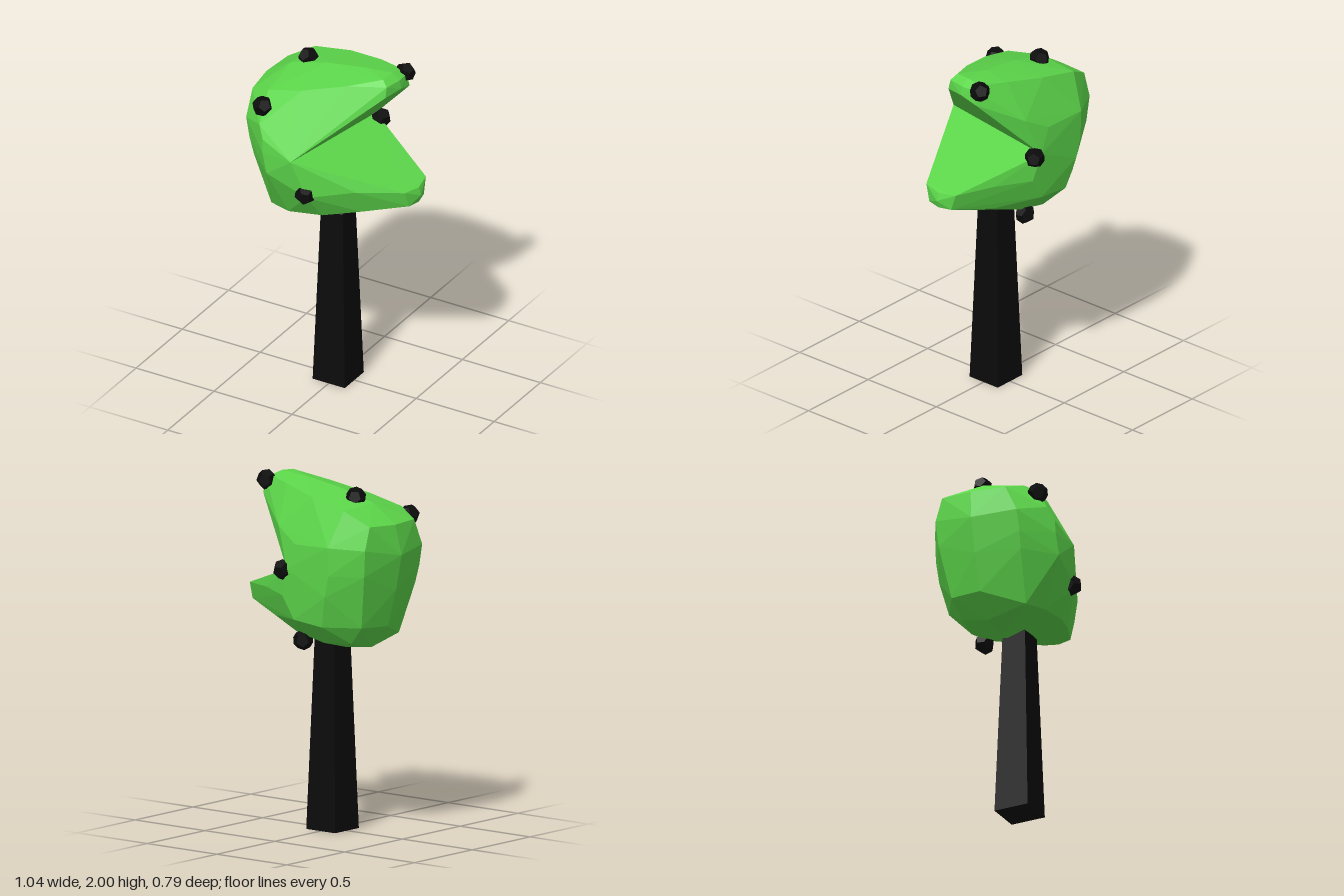
import * as THREE from 'three';
import { ConvexGeometry } from 'three/addons/geometries/ConvexGeometry.js';

const green = new THREE.MeshStandardMaterial({ color: 0x5cd64a, flatShading: true });
const black = new THREE.MeshStandardMaterial({ color: 0x0b0b0b, flatShading: true });

// Corners of the mouth hinge and the ring where both jaws join
const hinge = [
  [-0.08, 1.52, 0.38], [0.03, 1.505, -0.36], [-0.27, 1.52, 0.365], [-0.435, 1.5, 0.225],
  [-0.5, 1.5, -0.03], [-0.45, 1.5, -0.27], [-0.28, 1.5, -0.375],
];

// Each row is one rib, from the back of the head to the lip
const upperRibs = [
  [[-0.46, 1.77, 0.15], [-0.33, 1.82, 0.2], [-0.12, 1.87, 0.185], [0.12, 1.93, 0.11], [0.3, 1.98, 0.02]],
  [[-0.49, 1.77, -0.05], [-0.33, 1.875, -0.05], [-0.1, 1.935, -0.055], [0.15, 1.973, -0.06], [0.31, 1.985, -0.065]],
  [[-0.465, 1.78, -0.24], [-0.32, 1.86, -0.29], [-0.08, 1.91, -0.275], [0.15, 1.95, -0.215], [0.31, 1.97, -0.155]],
  [[-0.46, 1.62, 0.22], [-0.31, 1.67, 0.33], [-0.27, 1.6, 0.36]],
  [[-0.52, 1.6, -0.03]],
  [[-0.465, 1.65, -0.28], [-0.28, 1.66, -0.38], [-0.03, 1.65, -0.36], [0.12, 1.73, -0.32]],
  // lip
  [[0.335, 1.89, 0.055], [0.365, 1.9, -0.065], [0.36, 1.87, -0.165], [0.335, 1.95, 0.04], [0.355, 1.95, -0.065], [0.35, 1.95, -0.15]],
];

const lowerRibs = [
  [[-0.41, 1.4, 0.22], [-0.24, 1.4, 0.37], [0, 1.3, 0.345], [0.25, 1.35, 0.23]],
  [[-0.31, 1.11, 0.2], [-0.17, 1.12, 0.25], [0.04, 1.15, 0.24], [0.25, 1.2, 0.17]],
  [[-0.48, 1.4, -0.03], [-0.42, 1.19, -0.03], [-0.31, 1.06, -0.04], [-0.13, 1.04, -0.04], [0.05, 1.07, -0.04]],
  [[-0.39, 1.2, -0.22], [-0.3, 1.1, -0.2], [-0.13, 1.09, -0.23], [0.06, 1.13, -0.23], [0.25, 1.2, -0.2]],
  [[-0.43, 1.4, -0.25], [-0.25, 1.38, -0.37], [-0.2, 1.2, -0.335], [0, 1.22, -0.335], [0.08, 1.35, -0.34], [0.28, 1.36, -0.24]],
  // lip
  [[0.48, 1.345, 0.09], [0.505, 1.335, -0.02], [0.485, 1.345, -0.13], [0.49, 1.25, 0.06], [0.505, 1.245, -0.02], [0.49, 1.25, -0.1], [0.52, 1.29, -0.02]],
];

function add(parent, name, geometry, material, x = 0, y = 0, z = 0) {
  const mesh = new THREE.Mesh(geometry, material);
  mesh.name = name;
  mesh.position.set(x, y, z);
  parent.add(mesh);
  return mesh;
}

const jaw = (ribs) => new ConvexGeometry([...hinge, ...ribs.flat()].map((p) => new THREE.Vector3(...p)));

export function createModel() {
  const model = new THREE.Group();
  model.name = 'podOnStalk';

  // Head: two faceted jaws meeting at the hinge
  const head = new THREE.Group();
  head.name = 'head';
  add(head, 'upperJaw', jaw(upperRibs), green);
  add(head, 'lowerJaw', jaw(lowerRibs), green);
  model.add(head);

  // Square tapered stalk with a bevelled top
  const r = Math.SQRT2;
  add(model, 'stalk', new THREE.CylinderGeometry(0.07 * r, 0.103 * r, 1.075, 4), black, 0, 0.5375).rotation.y = Math.PI / 4;
  add(model, 'stalkTop', new THREE.CylinderGeometry(0.055 * r, 0.07 * r, 0.02, 4), black, 0, 1.085).rotation.y = Math.PI / 4;

  // Dark knobs scattered over the head
  const knobs = [
    [-0.25, 1.905, -0.1], [-0.32, 1.76, 0.28], [0.33, 1.945, -0.17],
    [0.07, 1.495, -0.345], [-0.015, 1.31, 0.335], [0.02, 1.09, -0.23],
  ];
  const knob = new THREE.DodecahedronGeometry(0.058);
  knobs.forEach((p, i) => add(model, 'knob' + (i + 1), knob, black, ...p).rotation.set(0.3 + i, 0.5 * i, 0.2));

  return model;
}
